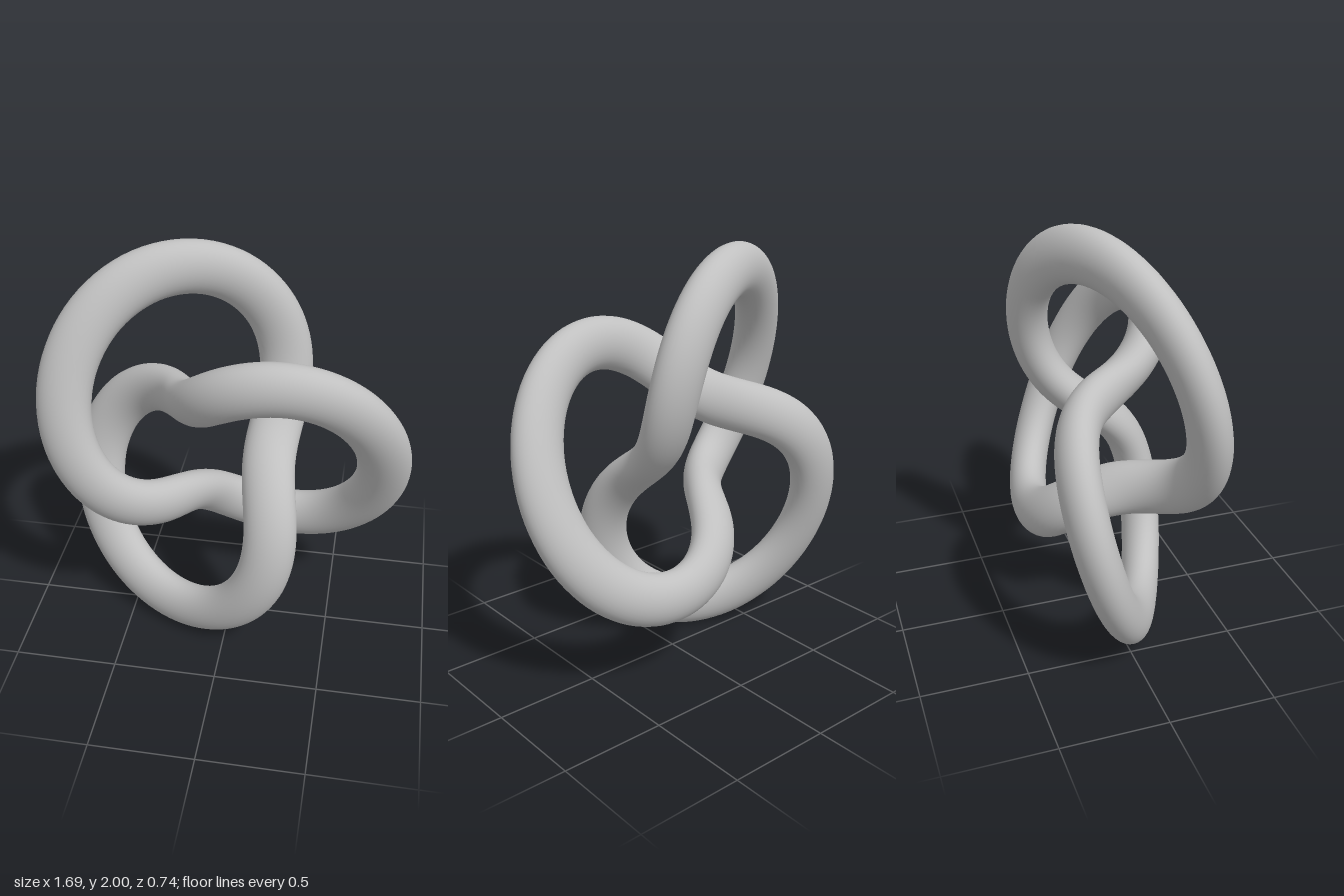
import * as THREE from 'three';

const CENTER_X = -0.083;         // offset that centres the three-lobed loop
const SIZE = [0.536, 0.618];     // mean radius across x and y
const DEPTH = 0.279;             // how far the strand weaves in z
const TUBE = [0.125, 0.093];     // strand half-width and half-depth
const ALONG = 300, AROUND = 32;

// Centre line: winds twice around z while weaving three times
function strandPoint(u) {
  const r = 1 + 0.5 * Math.cos(1.5 * u);
  return new THREE.Vector3(
    CENTER_X + SIZE[0] * r * Math.cos(u),
    1 + SIZE[1] * r * Math.sin(u),
    DEPTH * Math.sin(1.5 * u));
}

// Closed strand of elliptical cross-sections
function strandGeometry() {
  const positions = [], indices = [];
  const zAxis = new THREE.Vector3(0, 0, 1);
  for (let i = 0; i < ALONG; i++) {
    const u = (i / ALONG) * Math.PI * 4;
    const p = strandPoint(u);
    const tangent = strandPoint(u + 0.001).sub(strandPoint(u - 0.001)).normalize();
    const side = tangent.clone().cross(zAxis).normalize();
    const up = side.clone().cross(tangent);
    for (let j = 0; j < AROUND; j++) {
      const v = (j / AROUND) * Math.PI * 2;
      const q = p.clone()
        .addScaledVector(side, TUBE[0] * Math.cos(v))
        .addScaledVector(up, TUBE[1] * Math.sin(v));
      positions.push(q.x, q.y, q.z);

      const i2 = (i + 1) % ALONG, j2 = (j + 1) % AROUND;
      const a = i * AROUND + j, b = i2 * AROUND + j;
      const c = i2 * AROUND + j2, d = i * AROUND + j2;
      indices.push(a, b, c, a, c, d);
    }
  }
  const geometry = new THREE.BufferGeometry();
  geometry.setAttribute('position', new THREE.Float32BufferAttribute(positions, 3));
  geometry.setIndex(indices);
  geometry.computeVertexNormals();
  return geometry;
}

export function createModel() {
  const group = new THREE.Group();
  group.name = 'trefoilKnot';
  const grey = new THREE.MeshStandardMaterial({ color: 0xc0c0c0 });
  grey.name = 'light grey';
  const strand = new THREE.Mesh(strandGeometry(), grey);
  strand.name = 'knotStrand';
  group.add(strand);
  return group;
}
